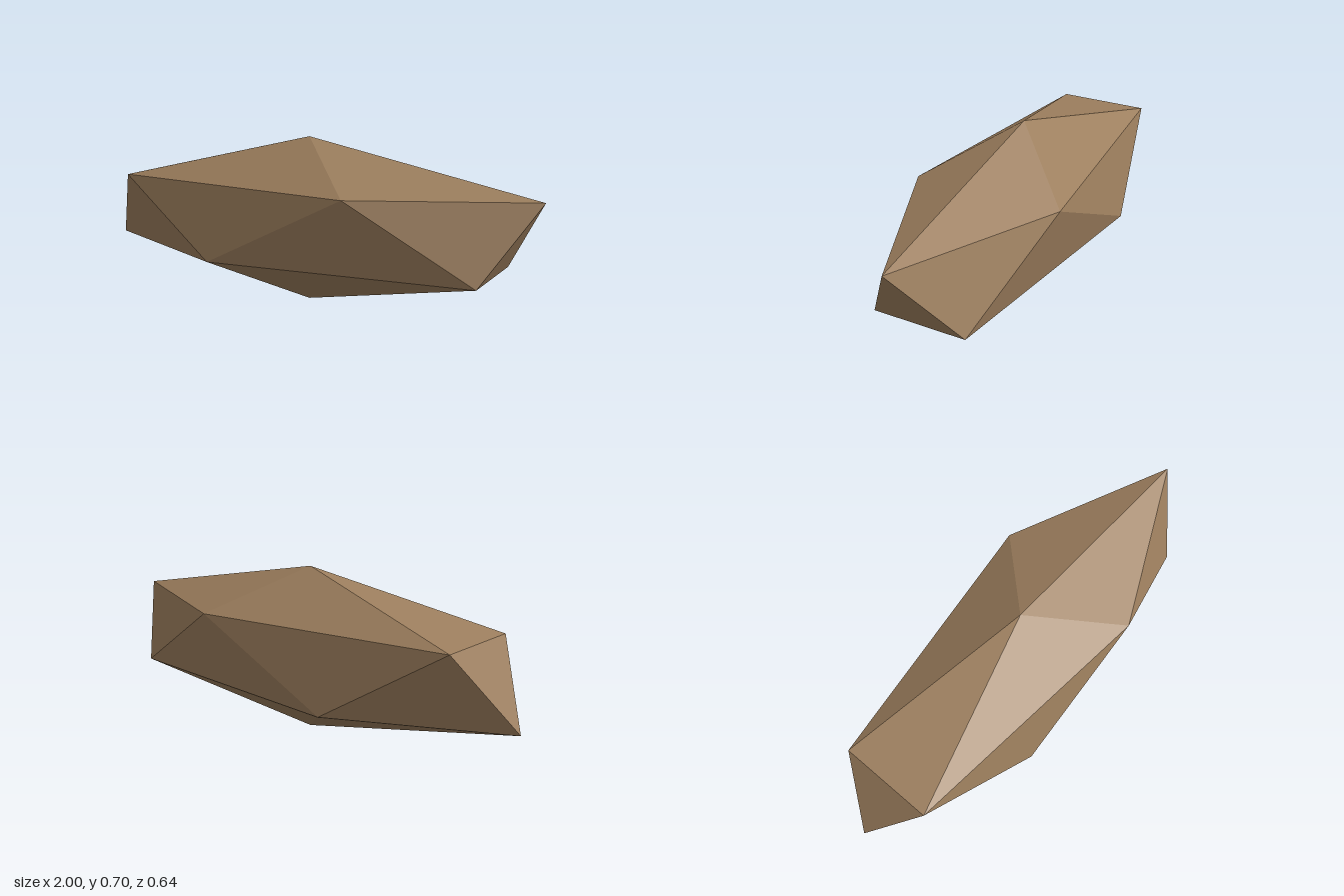
import * as THREE from 'three';

// Low-poly stone: a squashed, stretched twenty-sided solid standing on one point.
const HEIGHT = 0.7;
const LENGTH_RADIUS = 1;
const DEPTH_RADIUS = 0.337;

// Five corners around the y axis
function ring(y, startAngle) {
  return Array.from({ length: 5 }, (_, i) => {
    const a = startAngle + (i * Math.PI * 2) / 5;
    return [Math.cos(a) * LENGTH_RADIUS, y, -Math.sin(a) * DEPTH_RADIUS];
  });
}

function stoneGeometry() {
  const top = [0, HEIGHT, 0];
  const bottom = [0, 0, 0];
  const upper = ring(HEIGHT * 0.7236, 0);
  const lower = ring(HEIGHT * 0.2764, Math.PI / 5);
  const points = [];
  const face = (...corners) => corners.forEach((c) => points.push(...c));

  for (let i = 0; i < 5; i++) {
    const j = (i + 1) % 5;
    face(top, upper[i], upper[j]); // cap
    face(upper[i], lower[i], upper[j]); // band, pointing down
    face(lower[i], lower[j], upper[j]); // band, pointing up
    face(bottom, lower[j], lower[i]); // underside
  }

  const geometry = new THREE.BufferGeometry();
  geometry.setAttribute('position', new THREE.Float32BufferAttribute(points, 3));
  geometry.computeVertexNormals();
  return geometry;
}

export function createModel() {
  const group = new THREE.Group();
  group.name = 'stone';

  const brown = new THREE.MeshStandardMaterial({ color: 0x9c7e5d, flatShading: true });
  brown.name = 'earthBrown';

  const stone = new THREE.Mesh(stoneGeometry(), brown);
  stone.name = 'stoneBody';
  group.add(stone);
  return group;
}
